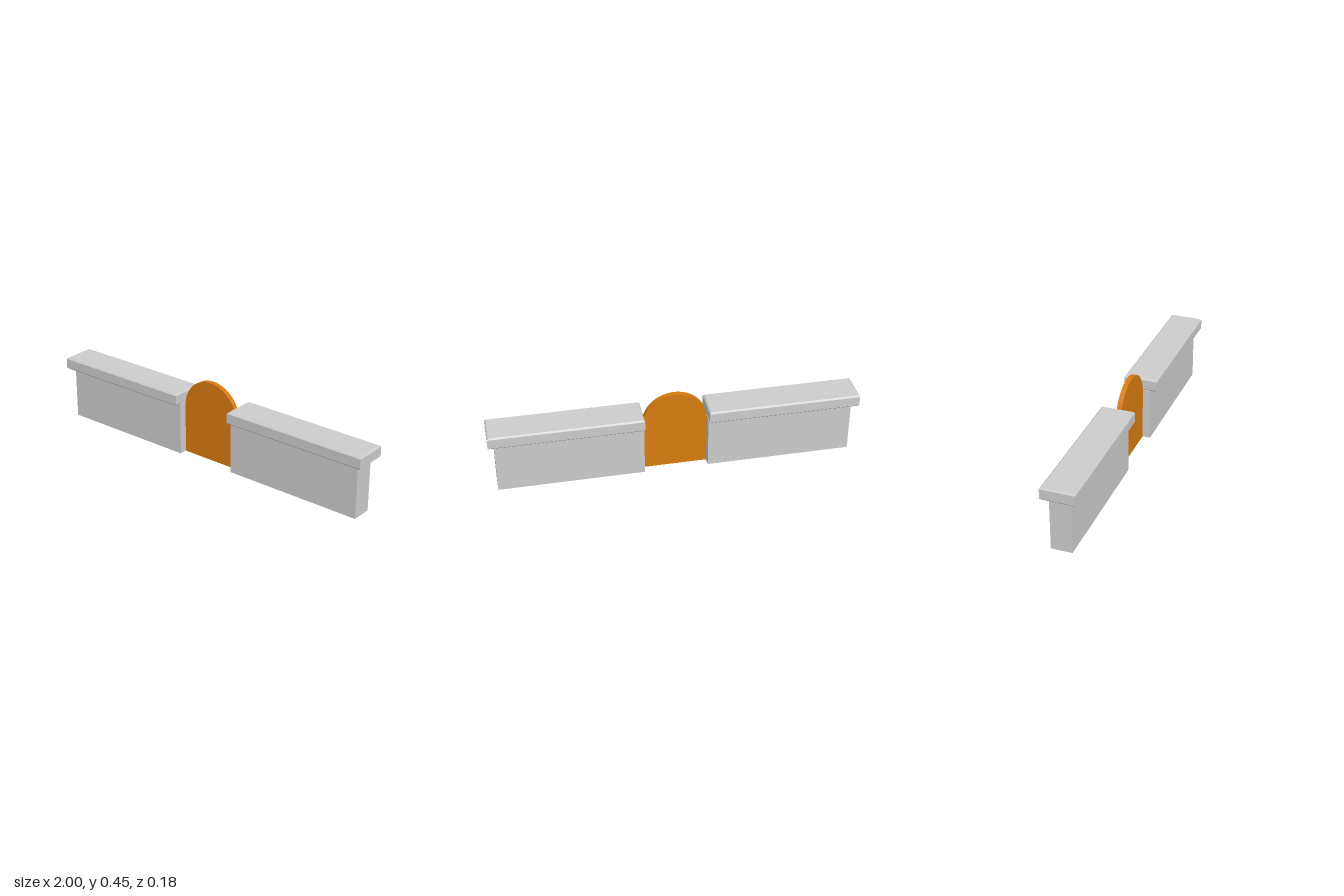
import * as THREE from 'three';
import { toCreasedNormals } from 'three/addons/utils/BufferGeometryUtils.js';

const stone = new THREE.MeshStandardMaterial({ color: 0xcccccc });
stone.name = 'grey stone';
const wood = new THREE.MeshStandardMaterial({ color: 0xd67b0f });
wood.name = 'orange wood';

const GATE = 0.174; // half width of the opening
const WALL_TOP = 0.295;

function addMesh(parent, name, geometry, material) {
  const mesh = new THREE.Mesh(geometry, material);
  mesh.name = name;
  parent.add(mesh);
  return mesh;
}

// Slab centred on x and z, resting on y = 0, with all horizontal edges chamfered
function chamferedSlab(width, height, depth, c) {
  const w = width / 2 - c, d = depth / 2 - c;
  const shape = new THREE.Shape([
    new THREE.Vector2(-w, -d), new THREE.Vector2(w, -d),
    new THREE.Vector2(w, d), new THREE.Vector2(-w, d),
  ]);
  return new THREE.ExtrudeGeometry(shape, {
    depth: height - 2 * c, bevelThickness: c, bevelSize: c, bevelSegments: 1,
  }).rotateX(-Math.PI / 2).translate(0, c, 0);
}

// Thin upright panel with a semicircular top
function archedPanel(radius, height, thickness) {
  const shape = new THREE.Shape();
  shape.moveTo(-radius, 0);
  shape.lineTo(radius, 0);
  shape.lineTo(radius, height - radius);
  shape.absarc(0, height - radius, radius, 0, Math.PI, false);
  shape.closePath();
  const geometry = new THREE.ExtrudeGeometry(shape, {
    depth: thickness, bevelEnabled: false, curveSegments: 32,
  }).translate(0, 0, -thickness / 2);
  return toCreasedNormals(geometry, 0.5);
}

export function createModel() {
  const model = new THREE.Group();
  model.name = 'gatedWall';

  // Wall and coping on each side of the gate
  for (const [side, s] of [['left', 1], ['right', -1]]) {
    const section = new THREE.Group();
    section.name = `${side}WallSection`;
    const wallLength = 0.966 - GATE, capLength = 1 - GATE;

    const wall = addMesh(section, `${side}Wall`, new THREE.BoxGeometry(wallLength, WALL_TOP, 0.114), stone);
    wall.position.set(s * (GATE + wallLength / 2), WALL_TOP / 2, 0);

    const cap = addMesh(section, `${side}Coping`, chamferedSlab(capLength, 0.069, 0.184, 0.008), stone);
    cap.position.set(s * (GATE + capLength / 2), WALL_TOP, 0);
    model.add(section);
  }

  // Round-topped gate between the walls
  addMesh(model, 'gate', archedPanel(GATE, 0.454, 0.027), wood);

  return model;
}
